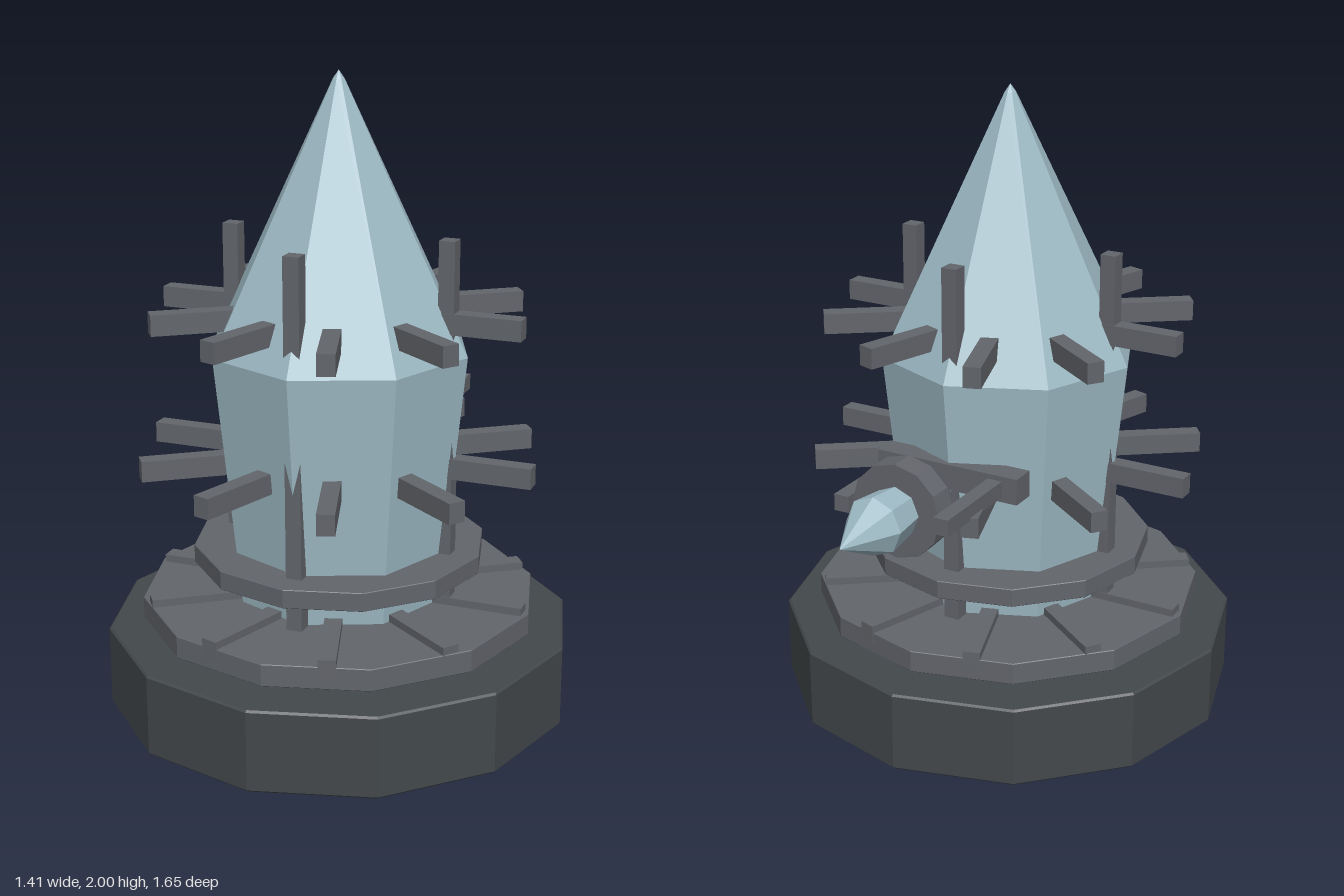
import * as THREE from 'three';

export function createModel() {
  const model = new THREE.Group();
  model.name = 'crystalReactor';
  const material = (name, color) => {
    const m = new THREE.MeshStandardMaterial({ color, flatShading: true });
    m.name = name;
    return m;
  };
  const crystalBlue = material('crystalBlue', 0x9fbbc6);
  const metalGrey = material('metalGrey', 0x62656b);
  const baseGrey = material('baseGrey', 0x43484b);

  const add = (parent, name, geometry, mat, x = 0, y = 0, z = 0) => {
    const mesh = new THREE.Mesh(geometry, mat);
    mesh.name = name;
    mesh.position.set(x, y, z);
    parent.add(mesh);
    return mesh;
  };
  // Faceted solid of revolution, profile listed from bottom to top
  const lathe = (points, sides) =>
    new THREE.LatheGeometry(points.map(([r, y]) => new THREE.Vector2(r, y)), sides);
  // Twelve-sided disc with a slight chamfer
  const disc = (r, y0, y1, c) =>
    lathe([[0, y0], [r - c, y0], [r, y0 + c], [r, y1 - c], [r - c, y1], [0, y1]], 12);

  // Main tower, set forward of the centre
  const tower = new THREE.Group();
  tower.name = 'tower';
  tower.position.z = 0.12;
  model.add(tower);

  const crystalShape = lathe(
    [[0, 0], [0.28, 0.09], [0.395, 1.2], [0.018, 1.975], [0, 2]], 8);
  add(tower, 'mainCrystal', crystalShape, crystalBlue);
  add(tower, 'base', disc(0.703, 0.095, 0.345, 0.006), baseGrey);
  add(tower, 'lowerDisc', disc(0.597, 0.37, 0.437, 0.002), metalGrey);
  add(tower, 'upperDisc', disc(0.44, 0.54, 0.597, 0.002), metalGrey);

  // Upright bars half sunk into the crystal
  for (let i = 0; i < 4; i++) {
    const a = (i * Math.PI) / 2;
    add(tower, 'uprightBar', new THREE.BoxGeometry(0.048, 1.24, 0.048), metalGrey,
      0.335 * Math.cos(a), 0.92, 0.335 * Math.sin(a));
  }

  // Rows of ten radial bars: two rows of spikes and the ribs on the lower disc
  const radialRow = (name, y, r0, r1, height) => {
    const row = new THREE.Group();
    row.name = name + 'Row';
    tower.add(row);
    for (let i = 0; i < 10; i++) {
      const a = (i * Math.PI) / 5, r = (r0 + r1) / 2;
      const bar = add(row, name, new THREE.BoxGeometry(r1 - r0, height, 0.052), metalGrey,
        r * Math.cos(a), y, r * Math.sin(a));
      bar.rotation.y = -a;
    }
  };
  radialRow('upperSpike', 1.3, 0.3, 0.558, 0.062);
  radialRow('lowerSpike', 0.865, 0.3, 0.598, 0.062);
  radialRow('discRib', 0.43, 0.3, 0.58, 0.06);

  // Rear emitter: mounting bar, two rails, collar and a small crystal
  const emitter = new THREE.Group();
  emitter.name = 'rearEmitter';
  emitter.position.y = 0.912;
  model.add(emitter);
  add(emitter, 'mountingBar', new THREE.BoxGeometry(0.47, 0.08, 0.078), metalGrey, 0, 0, -0.224);
  for (const side of [-1, 1]) {
    add(emitter, 'rail', new THREE.BoxGeometry(0.047, 0.05, 0.345), metalGrey,
      side * 0.163, 0, -0.397);
  }
  const collar = add(emitter, 'collar', new THREE.CylinderGeometry(0.143, 0.143, 0.077, 12),
    metalGrey, 0, 0, -0.503);
  collar.rotation.x = -Math.PI / 2;
  const tip = add(emitter, 'smallCrystal', crystalShape, crystalBlue, 0, 0, -0.405);
  tip.rotation.x = -Math.PI / 2;
  tip.scale.set(0.224, 0.209, 0.224);

  return model;
}
